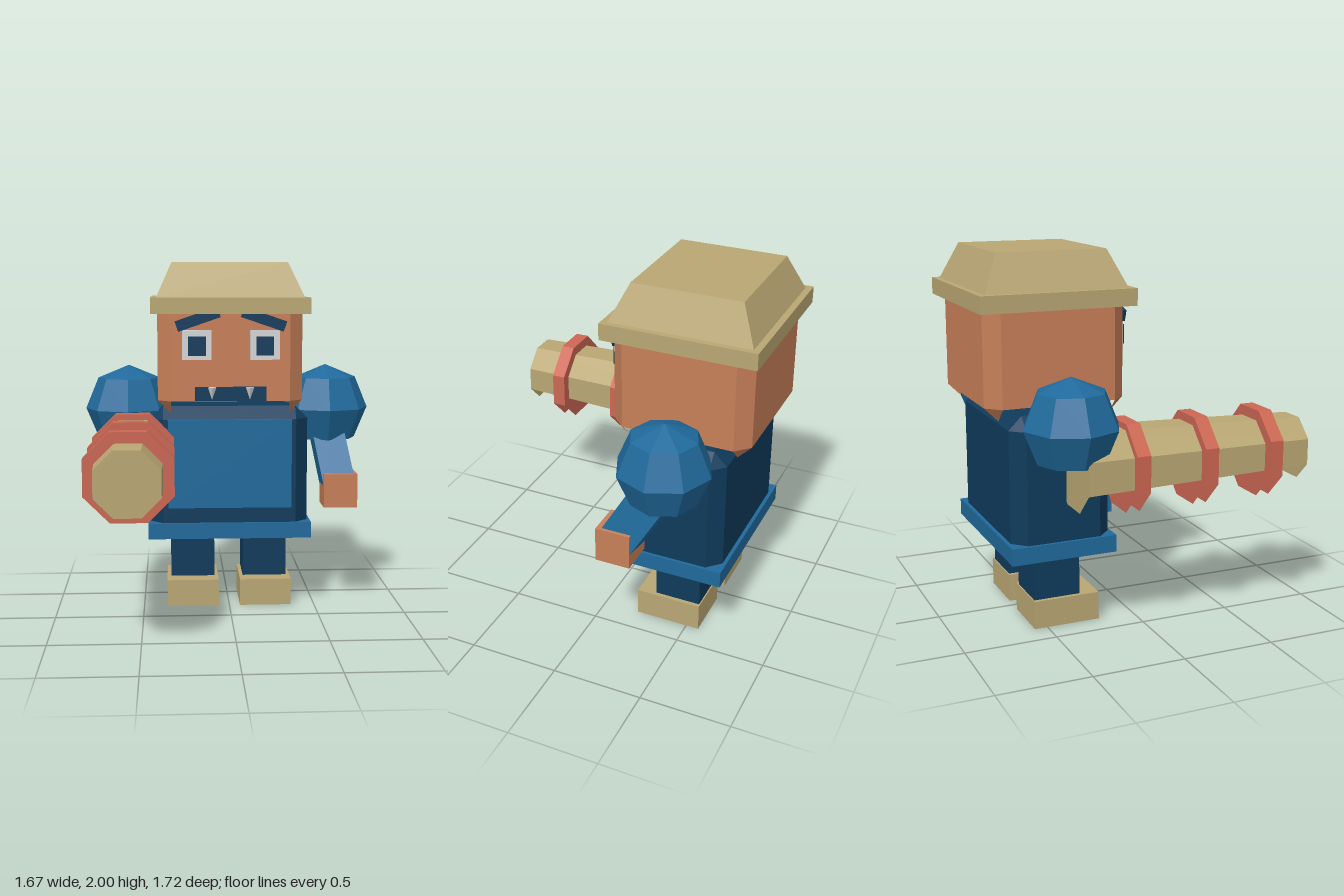
import * as THREE from 'three';
import { ConvexGeometry } from 'three/addons/geometries/ConvexGeometry.js';

const V = (x, y, z) => new THREE.Vector3(x, y, z);
const SIGNS = [-1, 1];

function makeMaterial(name, color) {
  const m = new THREE.MeshStandardMaterial({ color, side: THREE.DoubleSide, flatShading: true });
  m.name = name;
  return m;
}

// Box with all edges and corners cut off by r
function chamferBox(w, h, d, r) {
  const pts = [];
  for (const sx of SIGNS) for (const sy of SIGNS) for (const sz of SIGNS) {
    const a = w / 2, b = h / 2, c = d / 2;
    pts.push(V(sx * a, sy * (b - r), sz * (c - r)));
    pts.push(V(sx * (a - r), sy * b, sz * (c - r)));
    pts.push(V(sx * (a - r), sy * (b - r), sz * c));
  }
  return new ConvexGeometry(pts);
}

// Box that narrows by t on every side towards the top
function taperBox(w, h, d, t) {
  const g = new THREE.BoxGeometry(w, h, d);
  const p = g.attributes.position;
  for (let i = 0; i < p.count; i++) {
    if (p.getY(i) > 0) {
      p.setX(i, p.getX(i) - Math.sign(p.getX(i)) * t);
      p.setZ(i, p.getZ(i) - Math.sign(p.getZ(i)) * t);
    }
  }
  return g;
}

// Octagonal prism lying along z, flat side up
function octagon(front, back, length) {
  const k = 1 / Math.cos(Math.PI / 8);
  return new THREE.CylinderGeometry(front * k, back * k, length, 8)
    .rotateY(Math.PI / 8).rotateX(Math.PI / 2);
}

// Every part is open underneath: leave out the triangles that face down
function openBelow(geometry) {
  const src = geometry.index ? geometry.toNonIndexed() : geometry;
  const p = src.attributes.position;
  const kept = [];
  const tri = new THREE.Triangle();
  const n = V(0, 0, 0);
  for (let i = 0; i < p.count; i += 3) {
    tri.setFromAttributeAndIndices(p, i, i + 1, i + 2);
    if (tri.getArea() < 1e-9) continue;
    tri.getNormal(n);
    if (n.y < -0.62) continue;
    for (const v of [tri.a, tri.b, tri.c]) kept.push(v.x, v.y, v.z);
  }
  const out = new THREE.BufferGeometry();
  out.setAttribute('position', new THREE.Float32BufferAttribute(kept, 3));
  out.computeVertexNormals();
  return out;
}

export function createModel() {
  const tan = makeMaterial('tan', 0xbaa774);
  const skin = makeMaterial('skin', 0xc88059);
  const blue = makeMaterial('blue', 0x206a9c);
  const navy = makeMaterial('navy', 0x0f3b5c);
  const red = makeMaterial('red', 0xcc6753);
  const white = makeMaterial('white', 0xd6d6d6);

  const model = new THREE.Group();
  model.name = 'blockFigure';
  const add = (name, geometry, material, x, y, z) => {
    const mesh = new THREE.Mesh(openBelow(geometry), material);
    mesh.name = name;
    mesh.position.set(x, y, z);
    model.add(mesh);
  };
  // Box given by its lower and upper corners
  const box = (name, material, x0, x1, y0, y1, z0, z1) =>
    add(name, new THREE.BoxGeometry(x1 - x0, y1 - y0, z1 - z0), material,
      (x0 + x1) / 2, (y0 + y1) / 2, (z0 + z1) / 2);

  // Hat
  box('hatBrim', tan, -0.448, 0.448, 1.715, 1.805, -0.855, -0.02);
  add('hatCrown', taperBox(0.83, 0.195, 0.765, 0.087), tan, 0, 1.9025, -0.4375);

  // Head and body
  add('head', chamferBox(0.82, 0.65, 0.76, 0.075), skin, 0, 1.475, -0.435);
  add('torso', chamferBox(0.91, 0.745, 0.545, 0.072), navy, 0, 0.8075, -0.4325);
  box('chestPanel', blue, -0.355, 0.355, 0.6, 1.11, -0.18, -0.125);
  box('belt', blue, -0.472, 0.472, 0.415, 0.507, -0.725, -0.145);

  // Mouth
  box('mouth', navy, -0.2, 0.2, 1.23, 1.307, -0.09, -0.022);

  for (const s of SIGNS) {
    const side = s > 0 ? 'left' : 'right';

    // Eye, brow and fang
    const ex = s * 0.19;
    box(side + 'Eye', white, ex - 0.0825, ex + 0.0825, 1.46, 1.625, -0.09, -0.024);
    box(side + 'Pupil', navy, ex - 0.049, ex + 0.049, 1.485, 1.59, -0.05, -0.003);
    add(side + 'Brow', new THREE.BoxGeometry(0.25, 0.06, 0.07).rotateZ(-s * 0.33),
      navy, s * 0.185, 1.685, -0.057);
    add(side + 'Fang', new THREE.ConeGeometry(0.027, 0.07, 6).rotateX(Math.PI),
      white, s * 0.106, 1.272, -0.022);

    // Leg and shoe
    const lx = s * 0.213;
    box(side + 'Leg', navy, lx - 0.128, lx + 0.128, 0.15, 0.43, -0.565, -0.307);
    box(side + 'Shoe', tan, lx - 0.15, lx + 0.15, 0, 0.155, -0.572, -0.203);

    // Shoulder
    add(side + 'Shoulder',
      new THREE.SphereGeometry(0.255, 8, 3, 0, Math.PI * 2, 0, Math.PI * 0.75),
      blue, s * 0.582, 1.15, -0.44);
  }

  // Left arm slants forward and outward into the hand
  const top = V(0.57, 1.12, -0.465), end = V(0.64, 0.705, -0.235);
  const arm = new THREE.BoxGeometry(0.185, top.distanceTo(end), 0.2)
    .rotateX(-0.52).rotateZ(0.16);
  const mid = top.clone().add(end).multiplyScalar(0.5);
  add('leftArm', arm, blue, mid.x, mid.y, mid.z);
  box('leftHand', skin, 0.543, 0.738, 0.595, 0.79, -0.32, -0.127);

  // Right arm is a banded barrel
  add('barrel', octagon(0.168, 0.208, 1.28), tan, -0.552, 0.918, 0.22);
  for (const z of [-0.132, 0.25, 0.63]) {
    add('barrelBand', octagon(0.232, 0.232, 0.075), red, -0.552, 0.918, z);
  }

  return model;
}
